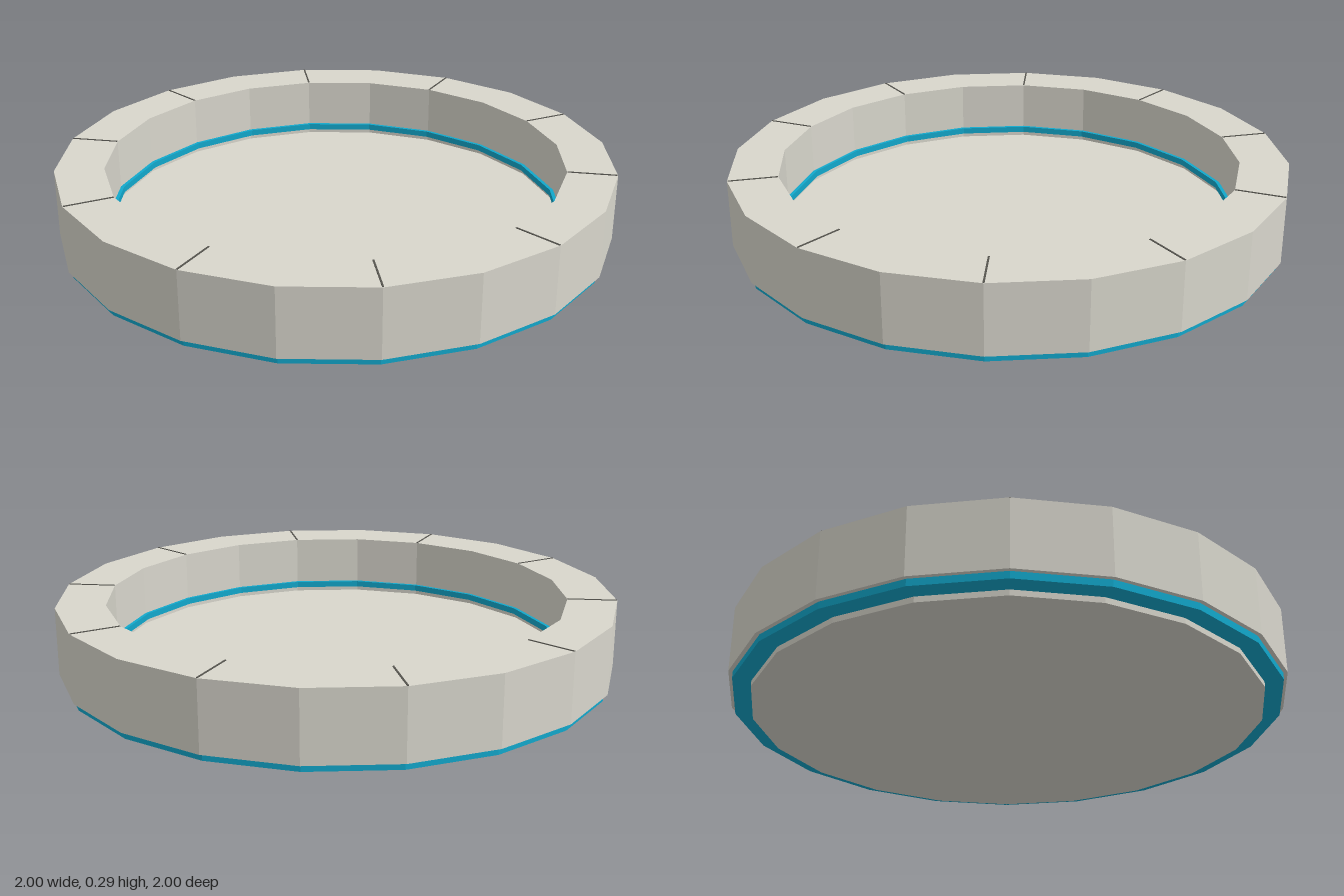
import * as THREE from 'three';

const SIDES = 20;

// Closed ring with a rectangular cross-section
function ringGeometry(inner, outer, y0, y1) {
  const profile = [[inner, y0], [outer, y0], [outer, y1], [inner, y1], [inner, y0]];
  return new THREE.LatheGeometry(profile.map(([x, y]) => new THREE.Vector2(x, y)), SIDES);
}

function material(name, color) {
  const m = new THREE.MeshStandardMaterial({ color, flatShading: true });
  m.name = name;
  return m;
}

export function createModel() {
  const stone = material('pale stone', 0xd8d6cc);
  const teal = material('teal glow', 0x12a8cc);
  const dark = material('dark seam', 0x55544e);
  const model = new THREE.Group();
  model.name = 'roundPlatform';

  const add = (name, geometry, mat, parent = model) => {
    const mesh = new THREE.Mesh(geometry, mat);
    mesh.name = name;
    parent.add(mesh);
    return mesh;
  };

  // Floor slab, its underside forming the foot
  add('floor', new THREE.CylinderGeometry(0.92, 0.92, 0.065, SIDES), stone).position.y = 0.0325;

  // Raised rim with a glowing band beneath and another inside
  add('rim', ringGeometry(0.825, 1, 0.045, 0.288), stone);
  add('lowerBand', ringGeometry(0.9, 0.985, 0.02, 0.045), teal);
  add('innerBand', ringGeometry(0.812, 0.826, 0.083, 0.106), teal);

  // Thin seams dividing the rim top into ten blocks
  const seams = new THREE.Group();
  seams.name = 'rimSeams';
  model.add(seams);
  for (let i = 0; i < 10; i++) {
    const angle = (i * Math.PI) / 5;
    const seam = add('seam', new THREE.BoxGeometry(0.172, 0.004, 0.006), dark, seams);
    seam.position.set(0.912 * Math.cos(angle), 0.288, 0.912 * Math.sin(angle));
    seam.rotation.y = -angle;
  }
  return model;
}
